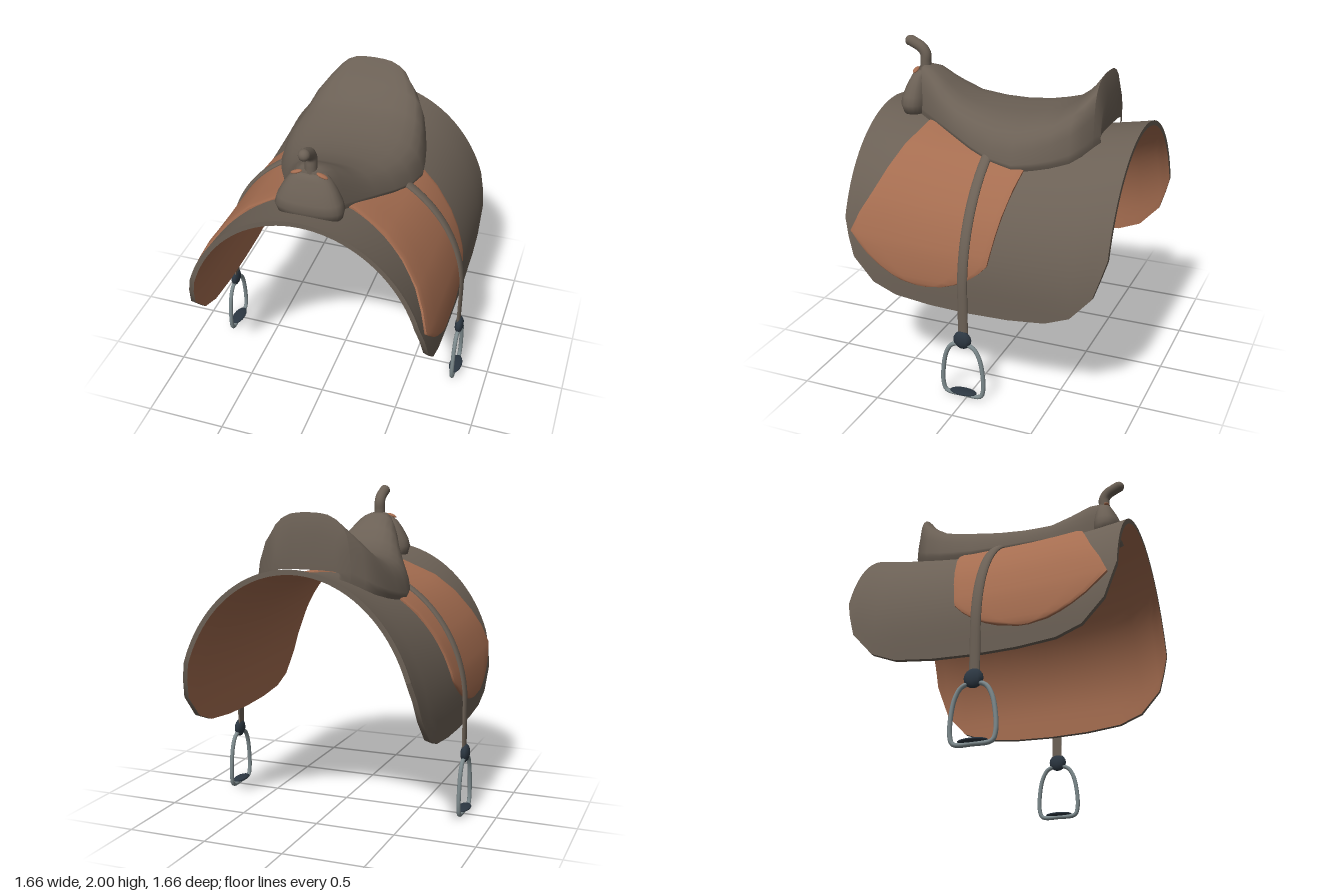
import * as THREE from 'three';

const mat = (name, color) => {
  const m = new THREE.MeshStandardMaterial({ color });
  m.name = name;
  return m;
};

// Point on the horse-back arch: a = angle from the ridge, o = offset outwards.
const HALF = Math.PI / 2;
const rise = z => 0.81 + 0.09 * (z / 0.83) ** 2;
function arch(a, z, o = 0) {
  const s = Math.sign(a), t = Math.abs(a);
  if (t > HALF) return [s * (0.75 + o), 0.7 - (t - HALF) * 0.8, z];
  return [s * (0.75 + o) * Math.sin(t), 0.7 + (rise(z) + o) * Math.cos(t), z];
}
const archAngle = (y, z) => (y > 0.7 ? Math.acos((y - 0.7) / rise(z)) : HALF + (0.7 - y) / 0.8);

// Smooth surface through a grid of points.
function surface(rows, flip = false) {
  const n = rows[0].length, index = [];
  for (let i = 0; i < rows.length - 1; i++) {
    for (let j = 0; j < n - 1; j++) {
      const a = i * n + j, b = a + n, c = a + 1, d = b + 1;
      if (flip) index.push(a, c, b, c, d, b);
      else index.push(a, b, c, c, b, d);
    }
  }
  const g = new THREE.BufferGeometry();
  g.setAttribute('position', new THREE.Float32BufferAttribute(rows.flat(2), 3));
  g.setIndex(index);
  g.computeVertexNormals();
  return g;
}

// Leather sheet lying on the arch; cells hold [angle, z, drop of the outside].
function sheet(name, cells, inner, outer, faceMat, backMat) {
  const group = new THREE.Group();
  group.name = name;
  const under = ([a, z]) => arch(a, z, inner);
  const over = ([a, z, drop = 0]) => arch(a, z, outer - drop);
  const add = (part, geo, m) => {
    const mesh = new THREE.Mesh(geo, m);
    mesh.name = name + part;
    group.add(mesh);
  };
  add('Outside', surface(cells.map(r => r.map(over))), faceMat);
  add('Lining', surface(cells.map(r => r.map(under)), true), backMat);
  const last = cells.length - 1, end = cells[0].length - 1;
  const loop = [...cells[0], ...cells.slice(1, last).map(r => r[end]),
    ...[...cells[last]].reverse(), ...cells.slice(1, last).reverse().map(r => r[0]), cells[0][0]];
  add('Rim', surface([loop.map(under), loop.map(over)]), faceMat);
  return group;
}

export function createModel() {
  const model = new THREE.Group();
  const brown = mat('brownLeather', 0x6b6055);
  const tan = mat('tanLeather', 0xa56d50);
  const steel = mat('steel', 0x7d8a8d);
  const dark = mat('darkMetal', 0x2c3742);
  const add = (name, geo, m, parent = model) => {
    const mesh = new THREE.Mesh(geo, m);
    mesh.name = name;
    parent.add(mesh);
    return mesh;
  };

  // Blanket: lower edge as [z, y], the same front and back
  const hem = [[0, 0.553], [0.25, 0.56], [0.48, 0.585], [0.63, 0.645], [0.76, 0.79], [0.8, 0.915], [0.83, 1.02]];
  const hemAll = [...hem.slice(1).reverse().map(([z, y]) => [-z, y]), ...hem];
  const blanketCells = hemAll.map(([z, y]) => {
    const reach = archAngle(y, z);
    return Array.from({ length: 41 }, (_, j) => [(j / 20 - 1) * reach, z]);
  });
  model.add(sheet('blanket', blanketCells, -0.03, 0, brown, tan));

  // Side flaps, one sheet over the ridge with softened edges: [angle, back z, front z]
  const flap = [[0, -0.26, 0.47], [0.28, -0.25, 0.5], [0.57, -0.23, 0.56], [0.78, -0.2, 0.61], [0.99, -0.17, 0.67],
    [1.14, -0.15, 0.73], [1.285, -0.13, 0.78], [1.355, -0.12, 0.72], [1.42, -0.07, 0.66], [1.485, 0, 0.58],
    [1.53, 0.07, 0.51], [1.565, 0.15, 0.44], [1.59, 0.27, 0.33]];
  const flapAll = [...flap.slice(1).reverse().map(([a, b, f]) => [-a, b, f]), ...flap];
  const flapCells = [0, 0.04, 0.2, 0.4, 0.6, 0.8, 0.96, 1].map(k =>
    flapAll.map(([a, b, f]) => [a, b + (f - b) * k, k === 0 || k === 1 || Math.abs(a) === 1.59 ? 0.008 : 0]));
  model.add(sheet('flap', flapCells, 0.001, 0.022, tan, tan));

  // Seat: [z, top height, half width]; the section is boxier towards the cantle
  const stations = [[-0.612, 1.575, 0.2], [-0.617, 1.78, 0.215], [-0.587, 1.9, 0.26], [-0.587, 1.9, 0.26],
    [-0.54, 1.835, 0.33], [-0.48, 1.77, 0.38], [-0.37, 1.69, 0.415], [-0.27, 1.662, 0.435], [-0.15, 1.637, 0.45],
    [0, 1.625, 0.42], [0.15, 1.637, 0.36], [0.3, 1.67, 0.285], [0.42, 1.74, 0.225], [0.53, 1.815, 0.17],
    [0.6, 1.828, 0.13], [0.64, 1.815, 0.105], [0.645, 1.58, 0.1]];
  // Half section: [x, height at the front, height at the back]
  const half = [[0.25, 0.993, 0.993], [0.45, 0.965, 0.97], [0.65, 0.87, 0.9], [0.8, 0.71, 0.8], [0.9, 0.5, 0.66],
    [0.96, 0.27, 0.44], [1, 0.06, 0.1], [1, 0, 0], [0.96, -1, -1]];
  const profile = [...[...half].reverse().map(([x, f, b]) => [-x, f, b]), [0, 1, 1], ...half];
  add('seat', surface(stations.map(([z, top, w]) => {
    const edge = arch(Math.asin(w / 0.775), z, 0.025)[1];
    const box = THREE.MathUtils.clamp((0.1 - z) / 0.5, 0, 1);
    return profile.map(([x, front, back]) => {
      const h = THREE.MathUtils.lerp(front, back, box);
      return [x * w, h < 0 ? edge - 0.035 : edge + (top - edge) * h, z];
    });
  })), brown);

  // Pommel swell: [y, half width, back z, front z]
  const swell = [[1.54, 0.15, 0.57, 0.69], [1.545, 0.19, 0.555, 0.715], [1.6, 0.203, 0.55, 0.735], [1.65, 0.19, 0.55, 0.728],
    [1.72, 0.155, 0.56, 0.7], [1.77, 0.12, 0.57, 0.675], [1.8, 0.08, 0.575, 0.66], [1.805, 0.001, 0.605, 0.61]];
  const bulge = v => Math.sign(v) * Math.abs(v) ** 0.8;
  add('pommel', surface(swell.map(([y, w, b, f]) => Array.from({ length: 25 }, (_, k) => {
    const t = Math.PI - k / 12 * Math.PI;
    return [w * bulge(Math.sin(t)), y, (b + f) / 2 + (f - b) / 2 * bulge(Math.cos(t))];
  }))), brown);

  // Horn with rounded tip, and its tan trim
  const hornPath = new THREE.CatmullRomCurve3([[1.78, 0.61], [1.84, 0.608], [1.89, 0.608], [1.927, 0.632], [1.953, 0.678], [1.969, 0.714]]
    .map(([y, z]) => new THREE.Vector3(0, y, z)));
  add('horn', new THREE.TubeGeometry(hornPath, 24, 0.035, 14), brown);
  add('hornTip', new THREE.SphereGeometry(0.034, 14, 10), brown).position.set(0, 1.966, 0.711);
  for (const s of [1, -1]) {
    const trim = add('hornTrim', new THREE.SphereGeometry(1, 12, 8), tan);
    trim.scale.set(0.036, 0.01, 0.016);
    trim.position.set(s * 0.075, 1.803, 0.64);
    trim.rotation.z = -s * 0.35;
  }

  // Stirrups on both sides
  const ringPath = new THREE.CatmullRomCurve3([[0, 0.365], [0.07, 0.345], [0.105, 0.29], [0.126, 0.2], [0.131, 0.07], [0.112, 0.022],
    [0, 0.014], [-0.112, 0.022], [-0.131, 0.07], [-0.126, 0.2], [-0.105, 0.29], [-0.07, 0.345]]
    .map(([z, y]) => new THREE.Vector3(0, y, z)), true);
  for (const s of [1, -1]) {
    // Strap with a domed outside
    const strapCells = [-1, -0.85, -0.5, 0, 0.5, 0.85, 1].map(k => Array.from({ length: 25 }, (_, j) => {
      const step = s > 0 ? j : 24 - j;
      return [s * (0.45 + (HALF + 0.375 - 0.45) * step / 24), 0.023 + 0.031 * k, 0.014 * (1 - Math.sqrt(1 - k * k))];
    }));
    model.add(sheet(s > 0 ? 'leftStrap' : 'rightStrap', strapCells, 0.022, 0.042, brown, brown));

    const stirrup = new THREE.Group();
    stirrup.name = s > 0 ? 'leftStirrup' : 'rightStirrup';
    stirrup.position.set(s * 0.787, 0, 0.023);
    add('stirrupRing', new THREE.TubeGeometry(ringPath, 56, 0.0135, 10, true), steel, stirrup);
    const knob = add('stirrupKnob', new THREE.SphereGeometry(1, 10, 8), dark, stirrup);
    knob.scale.set(0.028, 0.058, 0.058);
    knob.position.y = 0.39;
    const tread = add('stirrupTread', new THREE.SphereGeometry(1, 16, 8), dark, stirrup);
    tread.scale.set(0.042, 0.012, 0.088);
    tread.position.y = 0.032;
    model.add(stirrup);
  }
  return model;
}
